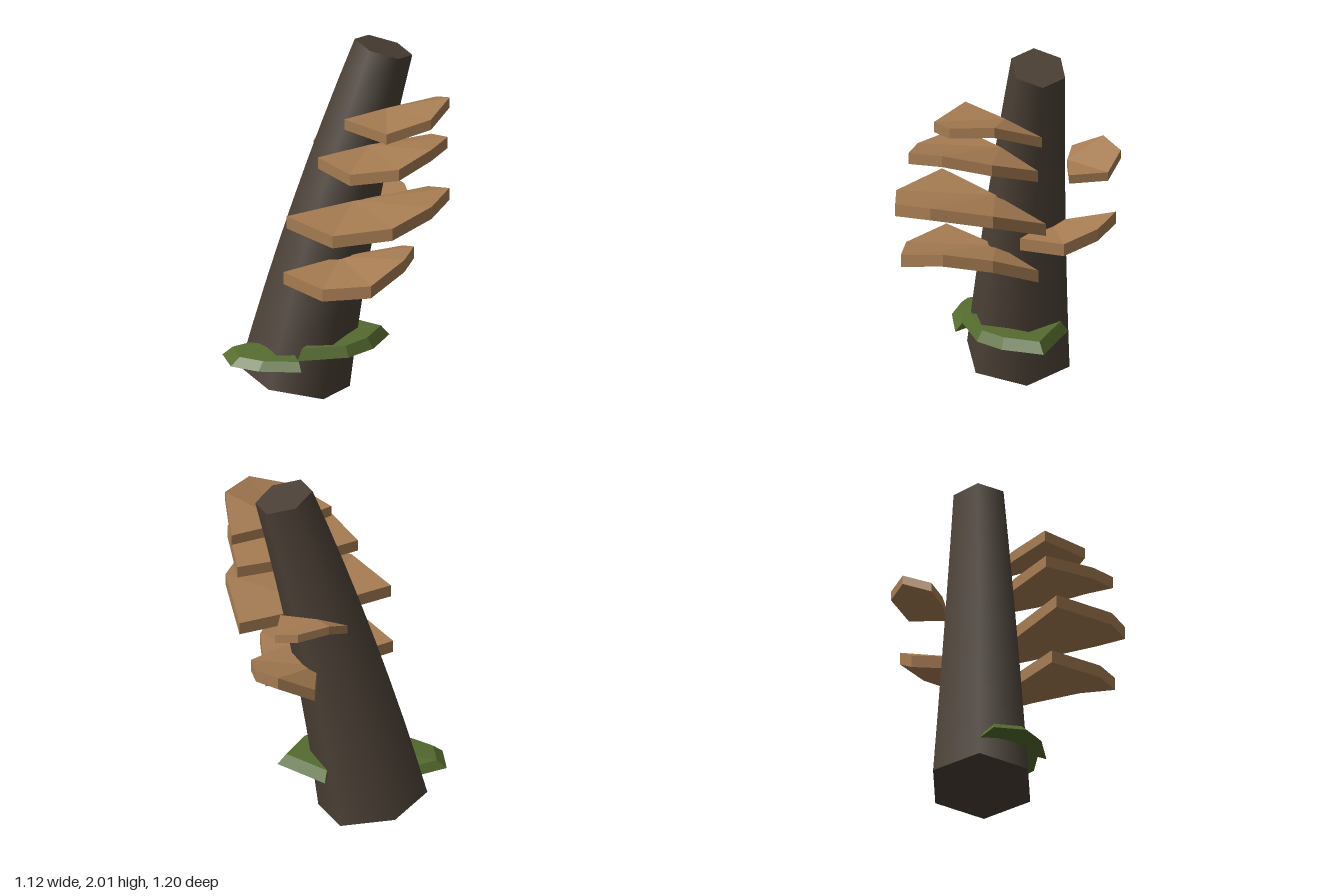
import * as THREE from 'three';

const paint = (name, color) => {
  const m = new THREE.MeshStandardMaterial({ color });
  m.name = name;
  return m;
};

// Leaning, slightly bowed six-sided trunk with smooth sides
function trunkGeometry() {
  const g = new THREE.CylinderGeometry(0.155, 0.295, 1, 6, 8);
  const p = g.attributes.position, n = g.attributes.normal;
  const normal = new THREE.Vector3();
  for (let i = 0; i < p.count; i++) {
    const t = p.getY(i) + 0.5, x = p.getX(i), z = p.getZ(i);
    const sx = 0.17 + 0.13 * t, sz = 0.1; // lean of this ring
    p.setXYZ(i,
      -0.13 + 0.32 * t + 0.11 * t * t + x,
      0.06 + 1.9 * t - sx * x - sz * z,
      -0.305 + 0.17 * t + 0.04 * t * t + z);
    const nx = n.getX(i), ny = n.getY(i), nz = n.getZ(i);
    normal.set(nx + sx * ny, ny - sx * nx - sz * nz, nz + sz * ny).normalize();
    n.setXYZ(i, normal.x, normal.y, normal.z);
  }
  return g;
}

// Faceted slab fanning from a hub; points are [x, z, top y].
// inset pulls the upper rim towards the hub for a bevelled edge.
function slabGeometry(hub, rim, thick, inset = 0) {
  const loop = [hub, ...rim];
  const top = loop.map(([x, z, y]) => [x + (hub[0] - x) * inset, y, z + (hub[1] - z) * inset]);
  const low = loop.map(([x, z, y]) => [x, y - thick, z]);
  const v = [];
  const tri = (a, b, c) => v.push(...a, ...b, ...c);
  for (let i = 1; i < loop.length - 1; i++) {
    tri(top[0], top[i], top[i + 1]);
    tri(low[0], low[i + 1], low[i]);
  }
  for (let i = 0; i < loop.length; i++) {
    const j = (i + 1) % loop.length;
    tri(low[i], low[j], top[j]);
    tri(low[i], top[j], top[i]);
  }
  const g = new THREE.BufferGeometry();
  g.setAttribute('position', new THREE.Float32BufferAttribute(v, 3));
  g.computeVertexNormals();
  return g;
}

export function createModel() {
  const model = new THREE.Group();
  const bark = paint('bark', 0x4a3f35);
  const fungus = paint('fungus', 0xa67c52);
  const moss = paint('moss', 0x556b2f);
  const add = (name, geometry, material) => {
    const m = new THREE.Mesh(geometry, material);
    m.name = name;
    model.add(m);
  };

  add('trunk', trunkGeometry(), bark);

  // Shelf fungi: four up the front, two on the left flank
  const shelves = {
    frontShelf1: [[0.0, -0.05, 0.82], 0.07, [[-0.38, -0.01, 0.825], [-0.33, 0.31, 0.825],
      [-0.14, 0.5, 0.87], [0.12, 0.42, 0.94], [0.3, 0.22, 0.91], [0.38, -0.03, 0.81]]],
    frontShelf2: [[0.05, 0.0, 1.15], 0.07, [[-0.38, 0.02, 1.16], [-0.315, 0.39, 1.16],
      [-0.065, 0.6, 1.225], [0.2, 0.57, 1.285], [0.45, 0.34, 1.26], [0.51, 0.02, 1.145]]],
    frontShelf3: [[0.135, 0.03, 1.47], 0.065, [[-0.2, 0.05, 1.475], [-0.18, 0.35, 1.475],
      [0.0, 0.56, 1.54], [0.23, 0.515, 1.59], [0.44, 0.34, 1.56], [0.5, 0.07, 1.47]]],
    frontShelf4: [[0.22, 0.07, 1.68], 0.06, [[-0.07, 0.11, 1.69], [0.02, 0.4, 1.685],
      [0.25, 0.48, 1.75], [0.455, 0.335, 1.785], [0.535, 0.07, 1.68]]],
    sideShelfLower: [[0.18, -0.27, 0.96], 0.07, [[0.25, -0.01, 0.96], [0.5, -0.11, 0.985],
      [0.555, -0.3, 1.04], [0.5, -0.47, 1.075], [0.3, -0.505, 0.97]]],
    sideShelfUpper: [[0.22, -0.36, 1.315], 0.05, [[0.385, -0.24, 1.315], [0.495, -0.42, 1.32],
      [0.425, -0.565, 1.385], [0.25, -0.585, 1.405], [0.1, -0.49, 1.32]]],
  };
  for (const [name, [hub, thick, rim]] of Object.entries(shelves)) {
    add(name, slabGeometry(hub, rim, thick), fungus);
  }

  // Moss patches wrapped round the foot
  add('frontMoss', slabGeometry([0.0, -0.17, 0.345], [[-0.28, -0.03, 0.335], [-0.02, 0.07, 0.335],
    [0.155, 0.04, 0.34], [0.34, -0.1, 0.335], [0.19, -0.39, 0.34]], 0.058, 0.14), moss);
  add('rightMoss', slabGeometry([-0.22, -0.25, 0.31], [[-0.36, -0.435, 0.27], [-0.51, -0.43, 0.27],
    [-0.56, -0.26, 0.27], [-0.47, -0.12, 0.27], [-0.28, 0.01, 0.27]], 0.045, 0.16), moss);

  return model;
}
